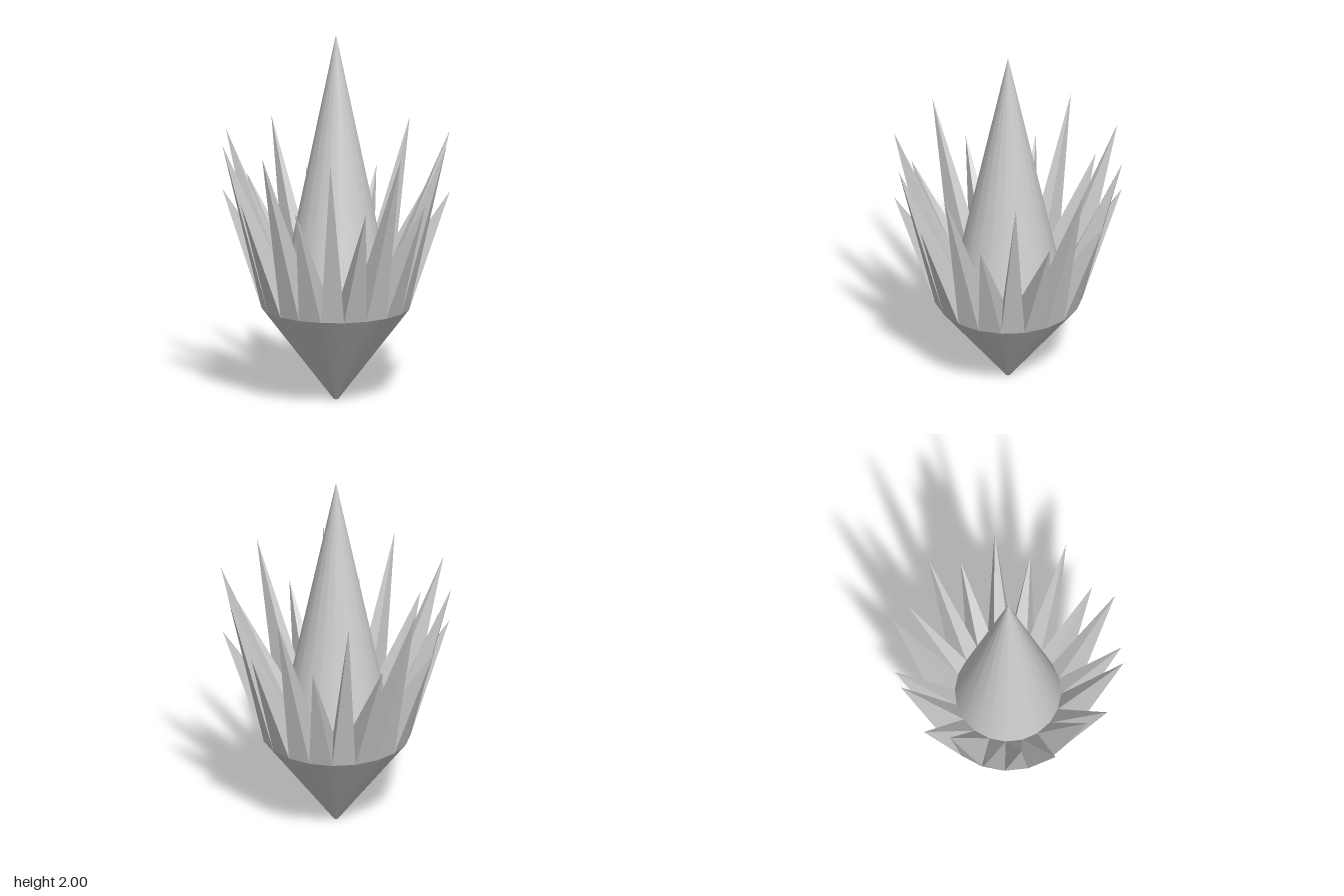
import * as THREE from 'three';

const SIDES = 20;
const RIM = { r: 0.4, y: 0.51 };
const INNER = { r: 0.284, y: 0.65 };

// point on a ring; angle 0 faces the front (+z)
function polar(r, y, step) {
  const a = (step / SIDES) * Math.PI * 2;
  return [r * Math.sin(a), y, r * Math.cos(a)];
}

// four-sided pyramid standing on one cell between the rim and the inner ring
function spikeGeometry(k, tipRadius, tipHeight) {
  const base = [
    polar(RIM.r, RIM.y, k), polar(RIM.r, RIM.y, k + 1),
    polar(INNER.r, INNER.y, k + 1), polar(INNER.r, INNER.y, k),
  ];
  const tip = polar(tipRadius, tipHeight, k + 0.5);
  const corners = base.flatMap((p, i) => [p, base[(i + 1) % 4], tip]);
  const geometry = new THREE.BufferGeometry();
  geometry.setAttribute('position', new THREE.Float32BufferAttribute(corners.flat(), 3));
  geometry.computeVertexNormals();
  return geometry;
}

export function createModel() {
  const model = new THREE.Group();
  const smooth = new THREE.MeshStandardMaterial({ color: 0xcccccc, side: THREE.DoubleSide });
  const flat = new THREE.MeshStandardMaterial({ color: 0xcccccc, flatShading: true });

  function addLathe(name, profile) {
    const points = profile.map(([r, y]) => new THREE.Vector2(r, y));
    const mesh = new THREE.Mesh(new THREE.LatheGeometry(points, SIDES), smooth);
    mesh.name = name;
    model.add(mesh);
  }

  // pointed base and tall central cone
  addLathe('base', [[0, 0], [0.012, 0], [RIM.r, RIM.y]]);
  addLathe('centralSpike', [[INNER.r, INNER.y], [0, 2]]);

  // crown of alternating short and tall spikes
  const crown = new THREE.Group();
  crown.name = 'crown';
  for (let k = 0; k < SIDES; k++) {
    const tall = k % 2 === 1;
    const geometry = tall ? spikeGeometry(k, 0.63, 1.435) : spikeGeometry(k, 0.61, 1.15);
    const spike = new THREE.Mesh(geometry, flat);
    spike.name = tall ? 'tallSpike' : 'shortSpike';
    crown.add(spike);
  }
  model.add(crown);
  return model;
}
